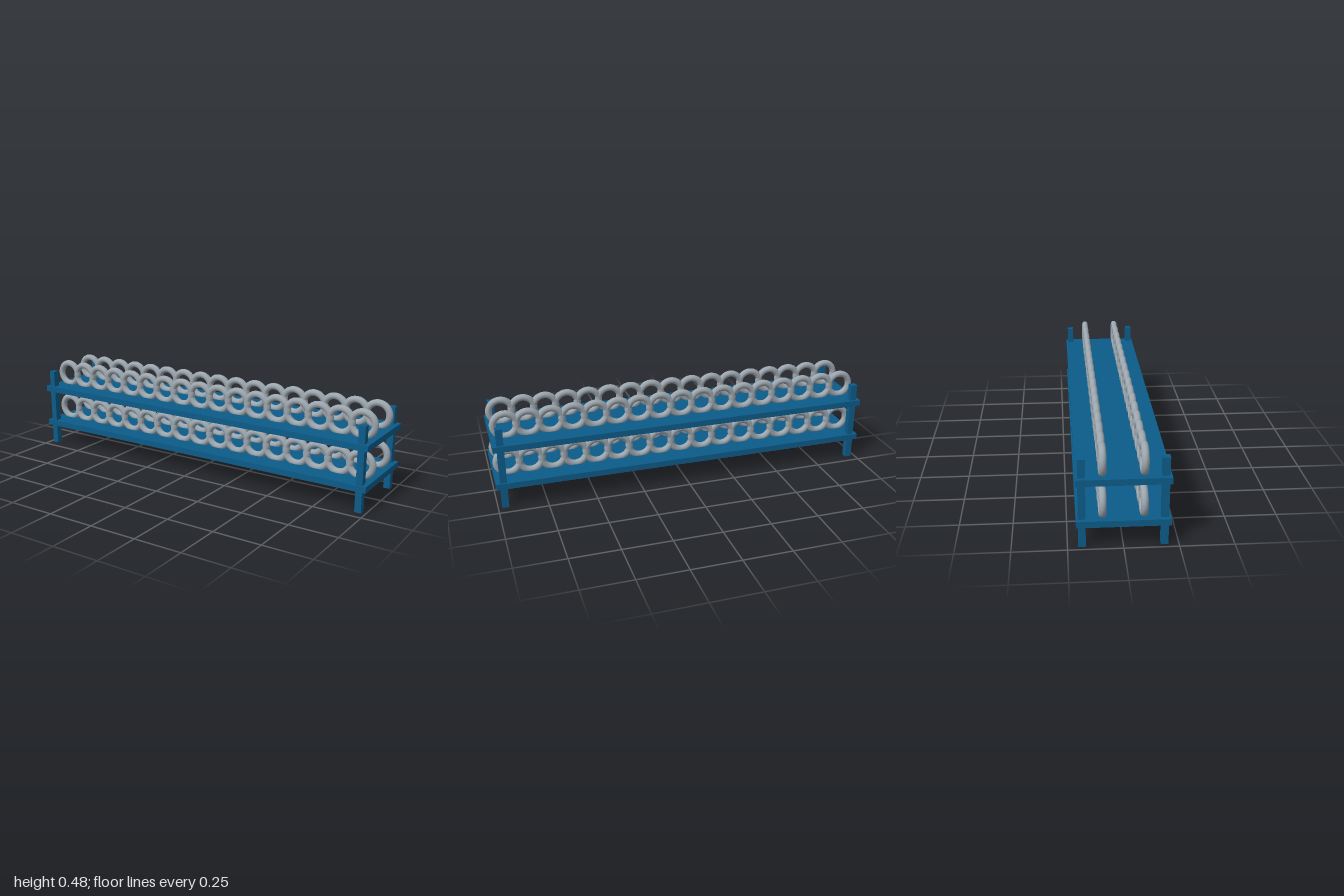
import * as THREE from 'three';

export function createModel() {
  const model = new THREE.Group();
  model.name = 'ringRack';

  const blue = new THREE.MeshStandardMaterial({ color: 0x0c5c8a });
  blue.name = 'blue paint';
  const grey = new THREE.MeshStandardMaterial({ color: 0x9ca6ae });
  grey.name = 'grey metal';

  const add = (parent, name, geometry, material, x, y, z) => {
    const mesh = new THREE.Mesh(geometry, material);
    mesh.name = name;
    mesh.position.set(x, y, z);
    parent.add(mesh);
  };

  // Four square corner posts
  const postGeometry = new THREE.BoxGeometry(0.034, 0.431, 0.034);
  for (const x of [-0.962, 0.962]) {
    for (const z of [-0.185, 0.185]) {
      add(model, 'post', postGeometry, blue, x, 0.2155, z);
    }
  }

  // Two shelves, each holding two rows of upright rings
  const shelfGeometry = new THREE.BoxGeometry(2, 0.031, 0.423);
  const ringGeometry = new THREE.TorusGeometry(0.06, 0.0172, 16, 32);
  const ringCount = 17;
  const spacing = 0.1153;

  for (const [level, shelfY] of [['lower', 0.124], ['upper', 0.3275]]) {
    add(model, level + 'Shelf', shelfGeometry, blue, 0, shelfY, 0);
    for (const z of [-0.0925, 0.0925]) {
      const row = new THREE.Group();
      row.name = level + (z > 0 ? 'Front' : 'Back') + 'RingRow';
      for (let i = 0; i < ringCount; i++) {
        const x = (i - (ringCount - 1) / 2) * spacing;
        add(row, 'ring', ringGeometry, grey, x, shelfY + 0.078, z);
      }
      model.add(row);
    }
  }

  return model;
}
